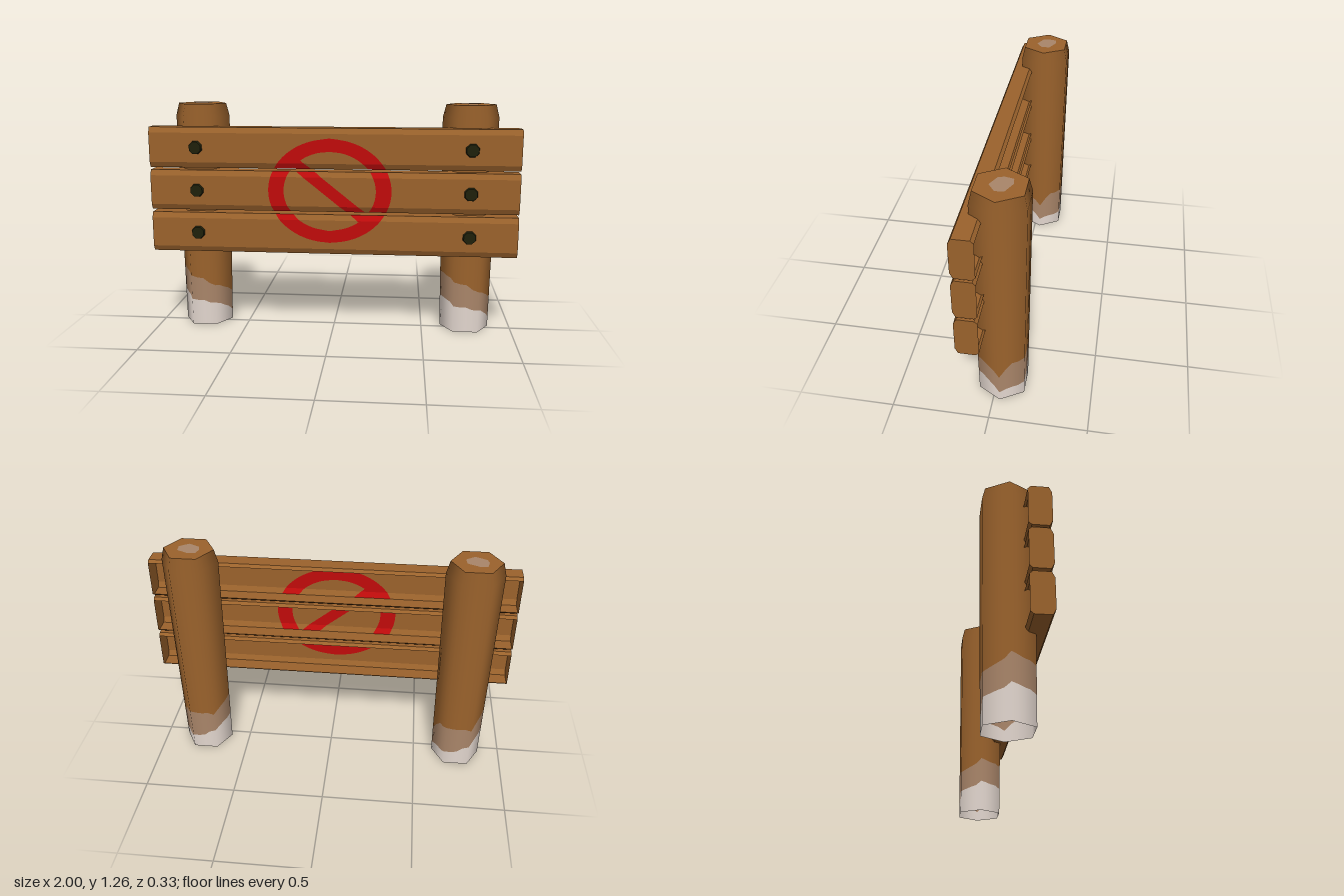
import * as THREE from 'three';

const flat = (name, color, side = THREE.DoubleSide) => {
  const m = new THREE.MeshStandardMaterial({ color, side });
  m.name = name;
  return m;
};

// Post radius: slight flare upward, then a short taper at the top
const SHOULDER = 1.19, POST_TOP = 1.26;
const postRadius = (y) => y <= SHOULDER
  ? 0.136 + 0.016 * y / SHOULDER
  : 0.152 - 0.018 * (y - SHOULDER) / (POST_TOP - SHOULDER);

// Ragged heights of the bleached foot, every 30 degrees from +x towards +z
const PALE_EDGE = [0.055, 0.10, 0.13, 0.145, 0.15, 0.17, 0.18, 0.15, 0.13, 0.09, 0.085, 0.07];
const WORN_EDGE = [0.17, 0.21, 0.235, 0.275, 0.29, 0.31, 0.325, 0.28, 0.25, 0.255, 0.265, 0.25];

// Height of an edge at step i of 24, with a slight jagged variation
function edgeHeight(edge, i) {
  const k = Math.floor(i / 2) % 12;
  return i % 2 ? (edge[k] + edge[(k + 1) % 12]) / 2 + 0.008 * Math.sin(i * 2.3) : edge[k];
}

// One smooth-shaded band around the hexagonal post between two height functions
function postBand(low, high) {
  const pos = [], nor = [], idx = [], n = 24;
  for (let i = 0; i <= n; i++) {
    const s = Math.floor(i / 4), t = (i % 4) / 4;
    const a = s * Math.PI / 3, b = a + Math.PI / 3;
    const x = Math.cos(a) * (1 - t) + Math.cos(b) * t;
    const z = Math.sin(a) * (1 - t) + Math.sin(b) * t;
    const len = Math.hypot(x, z);
    for (const y of [low(i % n), high(i % n)]) {
      const r = postRadius(y);
      pos.push(x * r, y, z * r);
      nor.push(x / len, 0, z / len);
    }
    if (i < n) {
      const k = i * 2;
      idx.push(k, k + 1, k + 2, k + 1, k + 3, k + 2);
    }
  }
  const g = new THREE.BufferGeometry();
  g.setAttribute('position', new THREE.Float32BufferAttribute(pos, 3));
  g.setAttribute('normal', new THREE.Float32BufferAttribute(nor, 3));
  g.setIndex(idx);
  return g;
}

// Plank cross-section as (-z, y), counter-clockwise, y from the plank centre
const HALF = 0.11;
const PROFILE = [
  [-0.135, -HALF], [-0.05, -HALF], [-0.034, -HALF + 0.015], [-0.034, HALF - 0.015],
  [-0.05, HALF], [-0.135, HALF], [-0.15, HALF - 0.03], [-0.15, -HALF + 0.03],
];
const FRONT = [5, 6, 7];       // front face and its two chamfers
const SHELL = [0, 1, 3, 4];    // underside, top and rear chamfers; the back is open

// Prohibition sign: x breaks at height y, from ring left edge to ring right edge
const SIGN = { x: -0.013, y: 0.8, rx: 0.334, ry: 0.283, ix: 0.25, iy: 0.215 };
function signBreaks(y) {
  const d = y - SIGN.y;
  const half = (rx, ry) => rx * Math.sqrt(Math.max(0, 1 - (d / ry) ** 2));
  const a = half(SIGN.rx, SIGN.ry), b = half(SIGN.ix, SIGN.iy);
  const c = -d / 0.8, w = 0.05;
  const clamp = (v) => Math.min(b, Math.max(-b, v));
  return [-a, -b, clamp(c - w), clamp(c + w), b, a].map((v) => v + SIGN.x);
}

// Spans along x at height y: painted, bare wood around the paint, or full length
const paintedSpans = (y) => {
  const s = signBreaks(y);
  return [[s[0], s[1]], [s[2], s[3]], [s[4], s[5]]];
};
const bareSpans = (y) => {
  const s = signBreaks(y);
  return [[-1, s[0]], [s[1], s[2]], [s[3], s[4]], [s[5], 1]];
};
const fullSpan = () => [[-1, 1]];

// Plank surface along some profile edges, covering only the given spans
function plankSurface(cy, edges, spansAt) {
  const pos = [];
  for (const k of edges) {
    const [u0, y0] = PROFILE[k], [u1, y1] = PROFILE[(k + 1) % PROFILE.length];
    const steps = spansAt === fullSpan ? 1 : Math.max(1, Math.ceil(Math.abs(y1 - y0) / 0.006));
    const at = (t) => {
      const y = y0 + (y1 - y0) * t;
      return { y, z: -(u0 + (u1 - u0) * t), spans: spansAt(cy + y) };
    };
    for (let i = 0; i < steps; i++) {
      const p = at(i / steps), q = at((i + 1) / steps);
      p.spans.forEach(([p0, p1], j) => {
        const [q0, q1] = q.spans[j];
        const A = [p0, p.y, p.z], B = [p1, p.y, p.z], C = [q1, q.y, q.z], D = [q0, q.y, q.z];
        if (p1 - p0 > 1e-5) pos.push(...A, ...C, ...B);
        if (q1 - q0 > 1e-5) pos.push(...A, ...D, ...C);
      });
    }
  }
  const g = new THREE.BufferGeometry();
  g.setAttribute('position', new THREE.Float32BufferAttribute(pos, 3));
  g.computeVertexNormals();
  return g;
}

export function createModel() {
  const wood = flat('brown wood', 0x9a622c);
  const worn = flat('worn wood', 0xa98569);
  const pale = flat('bleached wood', 0xe2d6ce);
  const red = flat('red paint', 0xc00b0b);
  const iron = flat('dark iron', 0x1f200b, THREE.FrontSide);

  const model = new THREE.Group();
  model.name = 'barrier';
  const add = (parent, name, geometry, material) => {
    const m = new THREE.Mesh(geometry, material);
    m.name = name;
    parent.add(m);
    return m;
  };

  // Posts, open below, with bleached feet and a worn heart on the top
  const paleEdge = (i) => edgeHeight(PALE_EDGE, i);
  const wornEdge = (i) => edgeHeight(WORN_EDGE, i);
  const heart = new THREE.Shape([
    [-0.05, 0.052], [-0.01, 0.056], [0.052, 0.026], [0.056, -0.018],
    [0.008, -0.052], [-0.052, -0.022], [-0.06, 0.008],
  ].map(([x, y]) => new THREE.Vector2(x, y)));
  for (const side of [-1, 1]) {
    const post = new THREE.Group();
    post.name = side > 0 ? 'leftPost' : 'rightPost';
    post.position.set(side * 0.743, 0, -0.034);
    add(post, 'postFoot', postBand(() => 0, paleEdge), pale);
    add(post, 'postWornBand', postBand(paleEdge, wornEdge), worn);
    add(post, 'postShaft', postBand(wornEdge, () => SHOULDER), wood);
    add(post, 'postTaper', postBand(() => SHOULDER, () => POST_TOP), wood);
    add(post, 'postTop', new THREE.CircleGeometry(postRadius(POST_TOP), 6)
      .rotateX(-Math.PI / 2).translate(0, POST_TOP, 0), wood);
    add(post, 'postHeart', new THREE.ShapeGeometry(heart)
      .rotateX(-Math.PI / 2).translate(0, POST_TOP + 0.002, 0), worn);
    model.add(post);
  }

  // Three hollow planks, each with its share of the painted sign and two bolts
  const endShape = new THREE.Shape(PROFILE.map(([u, y]) => new THREE.Vector2(u, y)));
  [0.56, 0.796, 1.03].forEach((y, i) => {
    const plank = new THREE.Group();
    plank.name = `plank${i + 1}`;
    plank.position.y = y;
    add(plank, 'plankShell', plankSurface(y, SHELL, fullSpan), wood);
    add(plank, 'plankFront', plankSurface(y, FRONT, bareSpans), wood);
    add(plank, 'signPaint', plankSurface(y, FRONT, paintedSpans), red);
    for (const side of [-1, 1]) {
      const label = side > 0 ? 'Left' : 'Right';
      const end = new THREE.ShapeGeometry(endShape);
      if (side < 0) end.scale(-1, 1, 1);
      add(plank, `plankEnd${label}`, end.rotateY(side * Math.PI / 2).translate(side, 0, 0), wood);
      const bolt = new THREE.CylinderGeometry(0.034, 0.041, 0.027, 8)
        .rotateY(Math.PI / 8).rotateX(Math.PI / 2);
      add(plank, `bolt${label}`, bolt, iron).position.set(side * 0.742, 0, 0.1535);
    }
    model.add(plank);
  });

  return model;
}
